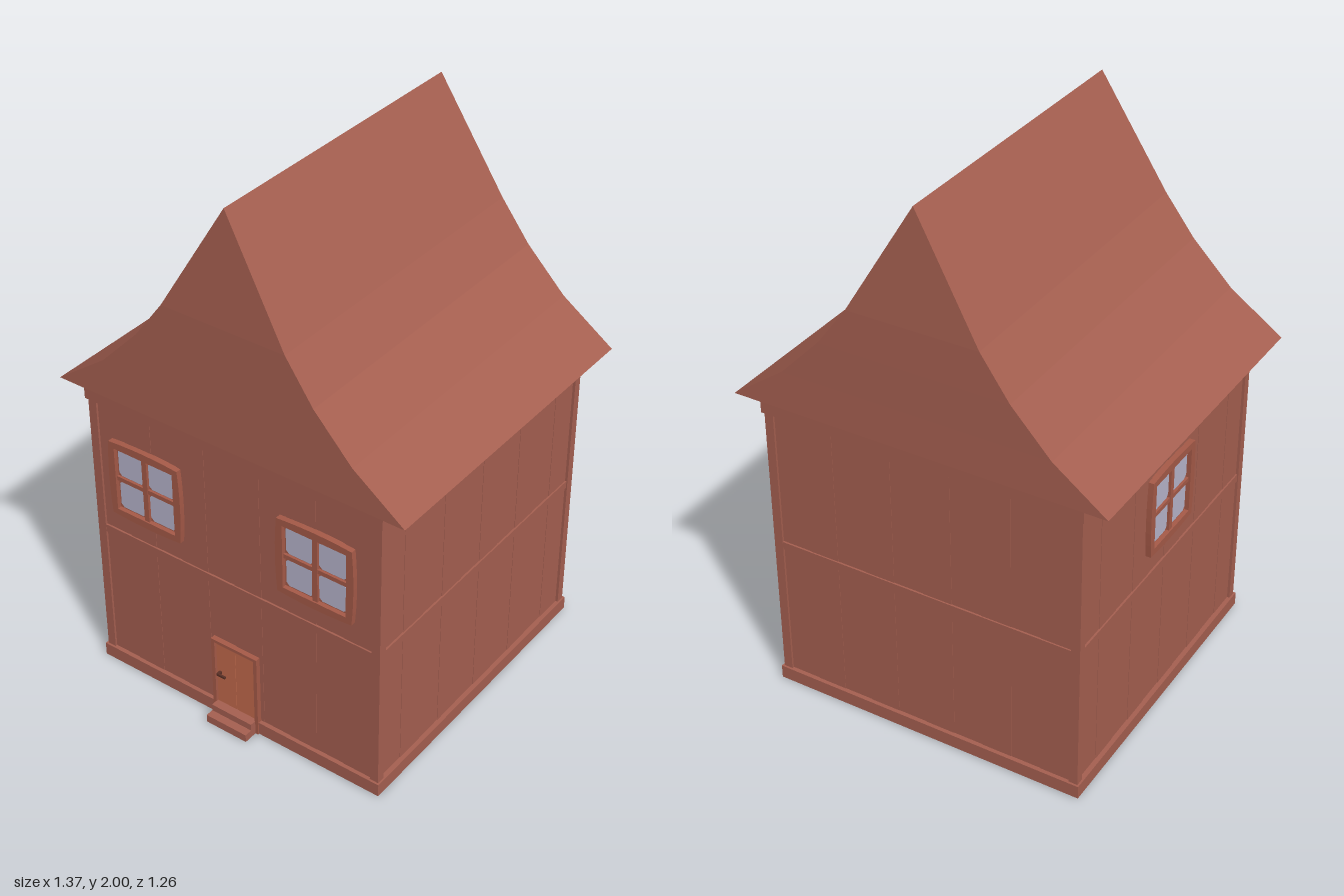
import * as THREE from 'three';

const mat = (name, color, side = THREE.FrontSide) => {
  const m = new THREE.MeshStandardMaterial({ color, side, flatShading: true });
  m.name = name;
  return m;
};

export function createModel() {
  const red = mat('red brown wood', 0xa55f50);
  const trim = mat('trim wood', 0xa65a48);
  const orange = mat('door wood', 0xc26a4c);
  const glass = mat('window glass', 0xb8b5cc);
  const dark = mat('dark handle', 0x5a3026);
  const cream = mat('underside strip', 0xf0dfbc);

  const model = new THREE.Group();
  model.name = 'house';
  const house = new THREE.Group();
  house.name = 'body';
  house.position.z = -0.02;
  model.add(house);

  const add = (parent, name, geo, m, x, y, z) => {
    const mesh = new THREE.Mesh(geo, m);
    mesh.name = name;
    mesh.position.set(x, y, z);
    parent.add(mesh);
    return mesh;
  };
  // box given by its centre x, bottom y, and its back and front z
  const box = (parent, name, m, w, h, x, y, z0, z1) =>
    add(parent, name, new THREE.BoxGeometry(w, h, z1 - z0), m, x, y + h / 2, (z0 + z1) / 2);

  // core, floor plate and crown
  box(house, 'core', red, 1.148, 1.15, 0, 0.01, -0.574, 0.574);
  box(house, 'basePlate', red, 1.19, 0.05, 0, 0.002, -0.593, 0.593);
  box(house, 'crown', red, 1.19, 0.054, 0, 1.112, -0.593, 0.593);
  box(house, 'floorStrip', cream, 0.155, 0.006, 0, 0, -0.585, 0.585);

  // corner posts
  for (const sx of [-1, 1]) for (const sz of [-1, 1]) {
    const z = sz * 0.5695;
    box(house, 'cornerPost', red, 0.033, 1.09, sx * 0.5715, 0.04, z - 0.0155, z + 0.0155);
  }

  // four walls: shallow planks and a middle beam
  const walls = [0, 1, 2, 3].map((i) => {
    const wall = new THREE.Group();
    wall.name = ['frontWall', 'leftWall', 'backWall', 'rightWall'][i];
    wall.rotation.y = i * Math.PI / 2;
    house.add(wall);
    const n = 10, w = 1.11 / n;
    for (let k = 0; k < n; k++) {
      box(wall, 'plank', red, w, 1.08, -0.555 + w * (k + 0.5), 0.04, 0.57, 0.577 + (k % 2) * 0.0015);
    }
    box(wall, 'middleBeam', red, 1.13, 0.03, 0, 0.571, 0.57, 0.584);
    return wall;
  });

  // four-pane window with a slightly bulging frame
  const paneShape = new THREE.Shape();
  const p = 0.054, c = 0.012;
  [[-p + c, -p], [p - c, -p], [p, -p + c], [p, p - c], [p - c, p], [-p + c, p], [-p, p - c], [-p, -p + c]]
    .forEach(([x, y], i) => (i ? paneShape.lineTo(x, y) : paneShape.moveTo(x, y)));
  const paneGeo = new THREE.ExtrudeGeometry(paneShape, { depth: 0.003, bevelEnabled: false });

  const a = 0.146, b = 0.16, q = 0.124;
  const frameShape = new THREE.Shape();
  frameShape.moveTo(-a, -a);
  frameShape.quadraticCurveTo(0, -b, a, -a);
  frameShape.quadraticCurveTo(b, 0, a, a);
  frameShape.quadraticCurveTo(0, b, -a, a);
  frameShape.quadraticCurveTo(-b, 0, -a, -a);
  const hole = new THREE.Path();
  hole.moveTo(-q, -q);
  hole.lineTo(-q, q);
  hole.lineTo(q, q);
  hole.lineTo(q, -q);
  hole.closePath();
  frameShape.holes.push(hole);
  const frameGeo = new THREE.ExtrudeGeometry(frameShape, { depth: 0.025, bevelEnabled: false, curveSegments: 6 });

  const addWindow = (wall, x) => {
    const win = new THREE.Group();
    win.name = 'window';
    win.position.set(x, 0.835, 0);
    wall.add(win);
    add(win, 'windowFrame', frameGeo, trim, 0, 0, 0.573);
    box(win, 'sash', trim, 0.25, 0.25, 0, -0.125, 0.57, 0.582);
    for (const sx of [-1, 1]) for (const sy of [-1, 1]) {
      add(win, 'pane', paneGeo, glass, sx * 0.065, sy * 0.065, 0.581);
    }
    box(win, 'uprightBar', trim, 0.02, 0.25, 0, -0.125, 0.58, 0.593);
    box(win, 'crossBar', trim, 0.25, 0.016, 0, -0.008, 0.58, 0.591);
  };
  addWindow(walls[0], -0.355);
  addWindow(walls[0], 0.34);
  addWindow(walls[3], 0.01);

  // door, frame, handle and steps
  const front = walls[0];
  box(front, 'doorLeaf', orange, 0.172, 0.3, 0, 0.028, 0.57, 0.586);
  for (const s of [-1, 1]) box(front, 'doorPlank', orange, 0.08, 0.27, s * 0.0415, 0.054, 0.58, 0.588);
  for (const s of [-1, 1]) box(front, 'doorJamb', trim, 0.014, 0.335, s * 0.09, 0, 0.57, 0.597);
  box(front, 'doorLintel', trim, 0.194, 0.012, 0, 0.323, 0.57, 0.597);
  box(front, 'handleStem', dark, 0.01, 0.01, -0.066, 0.187, 0.586, 0.605);
  box(front, 'handleLever', dark, 0.036, 0.008, -0.053, 0.188, 0.6, 0.607);
  box(front, 'lowerStep', red, 0.17, 0.03, 0, 0, 0.57, 0.65);
  box(front, 'upperStep', red, 0.17, 0.027, 0, 0.029, 0.57, 0.62);

  // flared roof: rectangles [half width, y, half depth] stacked up to the ridge
  const rings = [[0.685, 1.165, 0.608], [0.49, 1.305, 0.604], [0.345, 1.455, 0.6],
    [0.238, 1.6, 0.595], [0, 2, 0.565]];
  const pos = [], idx = [];
  for (const [w, y, d] of rings) pos.push(-w, y, d, w, y, d, w, y, -d, -w, y, -d);
  for (let r = 0; r < rings.length - 1; r++) for (let k = 0; k < 4; k++) {
    const i = r * 4 + k, j = r * 4 + (k + 1) % 4;
    idx.push(i, j, j + 4, i, j + 4, i + 4);
  }
  idx.push(0, 2, 1, 0, 3, 2);
  const roofGeo = new THREE.BufferGeometry();
  roofGeo.setAttribute('position', new THREE.Float32BufferAttribute(pos, 3));
  roofGeo.setIndex(idx);
  const flat = roofGeo.toNonIndexed();
  flat.computeVertexNormals();
  add(house, 'roof', flat, red, 0, 0, 0);

  return model;
}
